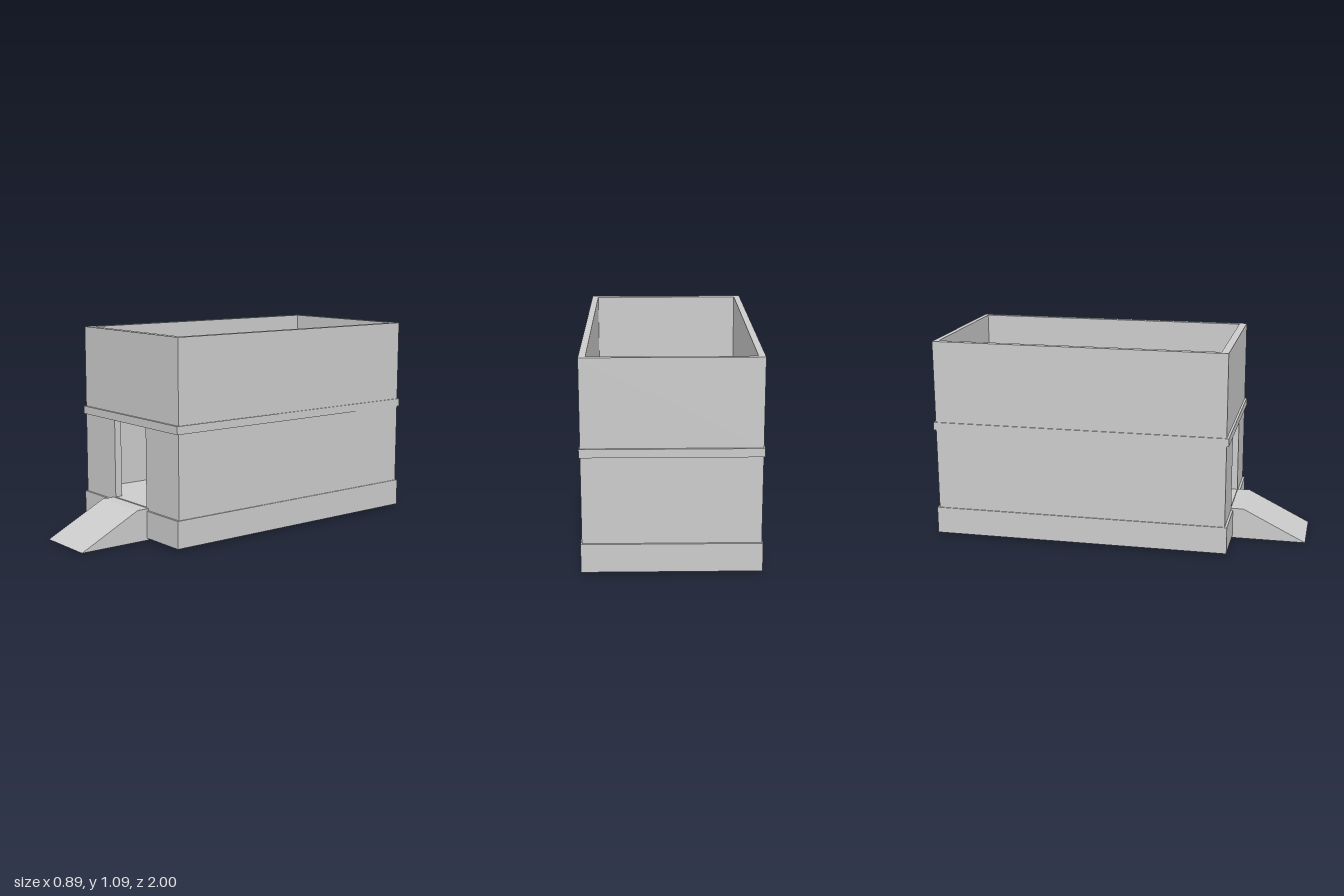
import * as THREE from 'three';

const CZ = -0.198;                       // centre of the building along z
const BODY = { x: 0.438, z: 0.789 };     // half sizes of the wall footprint
const BAND = { x: 0.444, z: 0.801 };     // half sizes of the projecting courses
const INNER = { x: 0.404, back: -0.96, front: 0.551 };
const DOOR = 0.148;                      // half width of the doorway

export function createModel() {
  const group = new THREE.Group();
  const material = new THREE.MeshStandardMaterial({ color: 0xcccccc, flatShading: true });

  function add(name, geometry) {
    const mesh = new THREE.Mesh(geometry, material);
    mesh.name = name;
    group.add(mesh);
  }

  // Solid layer with the given footprint between two heights
  function layer(name, half, y0, y1) {
    add(name, new THREE.BoxGeometry(half.x * 2, y1 - y0, half.z * 2)
      .translate(0, (y0 + y1) / 2, CZ));
  }

  // Plan outline given as [x, z] corners
  const plan = (points) => points.map(([x, z]) => new THREE.Vector2(x, -z));

  // Raise a plan shape from y0 to y1
  function raise(name, shape, y0, y1) {
    add(name, new THREE.ExtrudeGeometry(shape, { depth: y1 - y0, bevelEnabled: false })
      .rotateX(-Math.PI / 2).translate(0, y0, 0));
  }

  const front = CZ + BODY.z, back = CZ - BODY.z;

  // Plinth, ground floor and storey slab
  layer('plinth', BAND, 0.012, 0.158);
  layer('groundFloor', BODY, 0.158, 0.174);
  layer('storeyBand', BAND, 0.6, 0.643);

  // Lower walls: a ring in plan, broken by the doorway at the front
  raise('lowerWalls', new THREE.Shape(plan([
    [DOOR, front], [BODY.x, front], [BODY.x, back], [-BODY.x, back], [-BODY.x, front], [-DOOR, front],
    [-DOOR, INNER.front], [-INNER.x, INNER.front], [-INNER.x, INNER.back],
    [INNER.x, INNER.back], [INNER.x, INNER.front], [DOOR, INNER.front],
  ])), 0.174, 0.6);

  // Upper walls: closed ring with an open top
  const ring = new THREE.Shape(plan([
    [-BODY.x, front], [BODY.x, front], [BODY.x, back], [-BODY.x, back],
  ]));
  ring.holes.push(new THREE.Path(plan([
    [-INNER.x, INNER.front], [-INNER.x, INNER.back], [INNER.x, INNER.back], [INNER.x, INNER.front],
  ])));
  raise('upperWalls', ring, 0.643, 1.086);

  // Entrance ramp: side profile in (z, y), extruded across x
  const profile = new THREE.Shape([[0.592, 0], [1, 0], [0.66, 0.17], [0.592, 0.17]]
    .map(([z, y]) => new THREE.Vector2(z, y)));
  add('entranceRamp', new THREE.ExtrudeGeometry(profile, { depth: 0.336, bevelEnabled: false })
    .rotateY(-Math.PI / 2).translate(0.168, 0, 0));

  return group;
}
